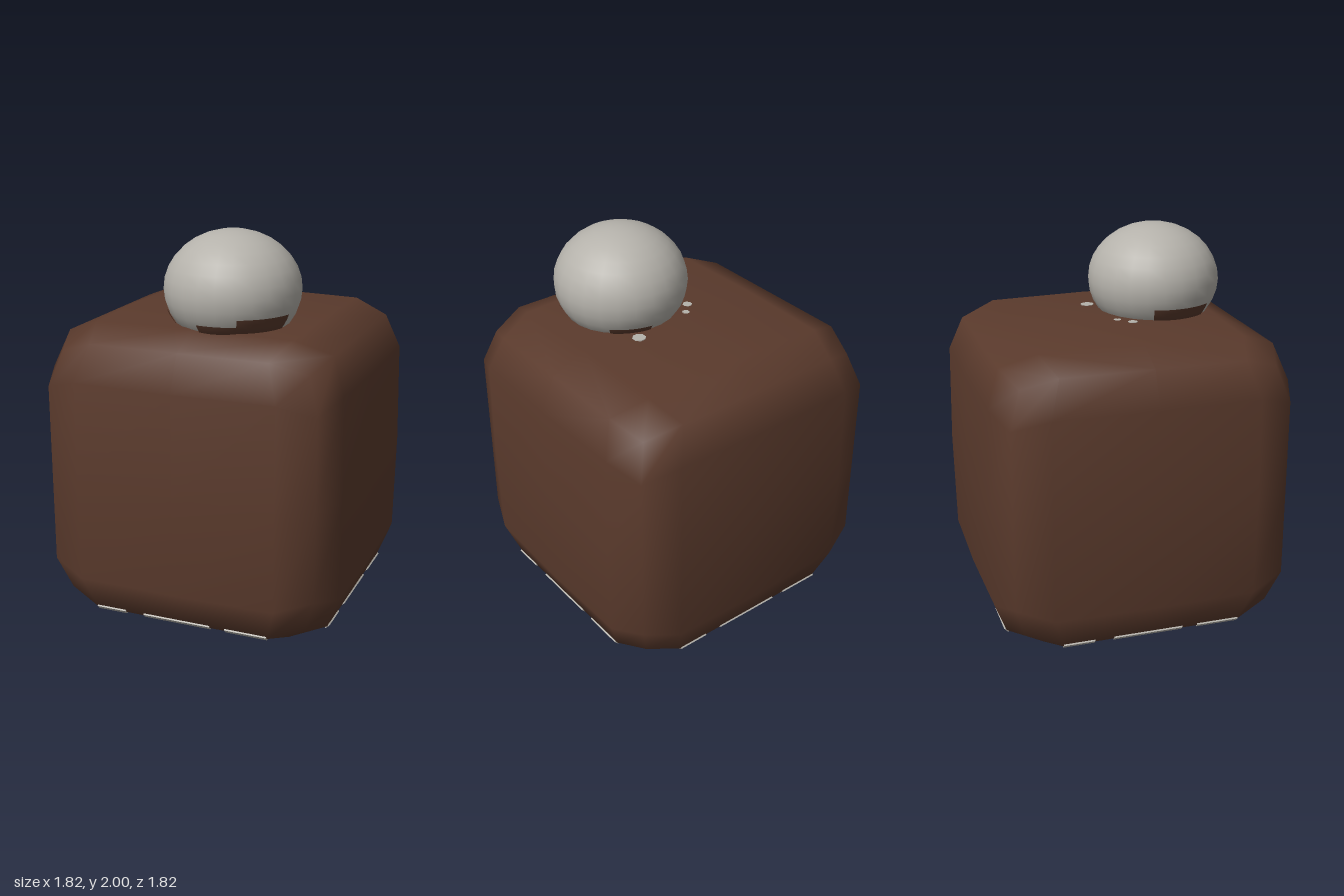
import * as THREE from 'three';
import { mergeVertices } from 'three/addons/utils/BufferGeometryUtils.js';

const material = (name, color) => new THREE.MeshStandardMaterial({ name, color });

// Soft cube: a 4x4x4 grid whose edges and corners are pulled inwards
function softCube() {
  let geo = new THREE.BoxGeometry(4, 4, 4, 4, 4, 4);
  geo.deleteAttribute('uv');
  geo.deleteAttribute('normal');
  geo = mergeVertices(geo);
  const p = geo.attributes.position;
  for (let i = 0; i < p.count; i++) {
    const c = [p.getX(i), p.getY(i), p.getZ(i)].map(Math.round);
    const outer = c.filter((n) => Math.abs(n) === 2).length;
    const centred = c.filter((n) => n === 0).length;
    const reach = outer === 3 ? 0.637 : outer === 2 ? 0.695 : [0.762, 0.772, 0.78][centred];
    const inner = outer === 2 ? 0.46 : 0.515;
    p.setXYZ(i, ...c.map((n) => Math.sign(n) * (Math.abs(n) === 2 ? reach : inner)));
  }
  geo.computeVertexNormals();
  return geo;
}

export function createModel() {
  const model = new THREE.Group();
  const brown = material('brown', 0x5a3a2c);
  const grey = material('warmGrey', 0xb5b2ab);
  const add = (parent, name, geo, mat, x = 0, y = 0, z = 0) => {
    const mesh = new THREE.Mesh(geo, mat);
    mesh.name = name;
    mesh.position.set(x, y, z);
    parent.add(mesh);
    return mesh;
  };

  // Turned body
  const body = new THREE.Group();
  body.name = 'body';
  body.position.y = 0.78;
  body.rotation.y = 0.4;
  model.add(body);
  add(body, 'softCube', softCube(), brown);

  // Broken pale line along the lower edges
  const dashes = [[-0.46, -0.3], [-0.2, 0.16], [0.24, 0.46]];
  for (let side = 0; side < 4; side++) {
    const edge = new THREE.Group();
    edge.name = 'lowerEdge';
    edge.rotation.y = side * Math.PI / 2;
    body.add(edge);
    for (const [a, b] of dashes) {
      const dash = add(edge, 'paleDash', new THREE.BoxGeometry(b - a, 0.03, 0.008),
        grey, (a + b) / 2, -0.694, 0.694);
      dash.rotation.x = Math.PI / 4;
    }
  }

  // Flattened ball on top
  const ball = new THREE.Group();
  ball.name = 'topBall';
  ball.position.set(0.2, 1.71, 0.195);
  ball.scale.set(0.34, 0.29, 0.34);
  model.add(ball);
  add(ball, 'ball', new THREE.SphereGeometry(1, 24, 16), grey);

  // Brown smudges at the foot of the ball: start angle, end angle, upper limit
  for (const [a, b, top] of [[0.1, 1.1, 1.9], [1.75, 2.4, 2.02], [2.4, 3.3, 1.88], [4.3, 5, 2.0]]) {
    add(ball, 'smudge', new THREE.SphereGeometry(1.012, 10, 4, a, b - a, top, 2.25 - top), brown);
  }

  // Pale flecks on the body around the ball
  for (const [x, z, r] of [[0.19, -0.15, 0.035], [-0.13, 0.12, 0.025], [-0.1, 0.04, 0.02]]) {
    add(model, 'fleck', new THREE.CylinderGeometry(r, r, 0.009, 8), grey, x, 1.554, z);
  }
  return model;
}
